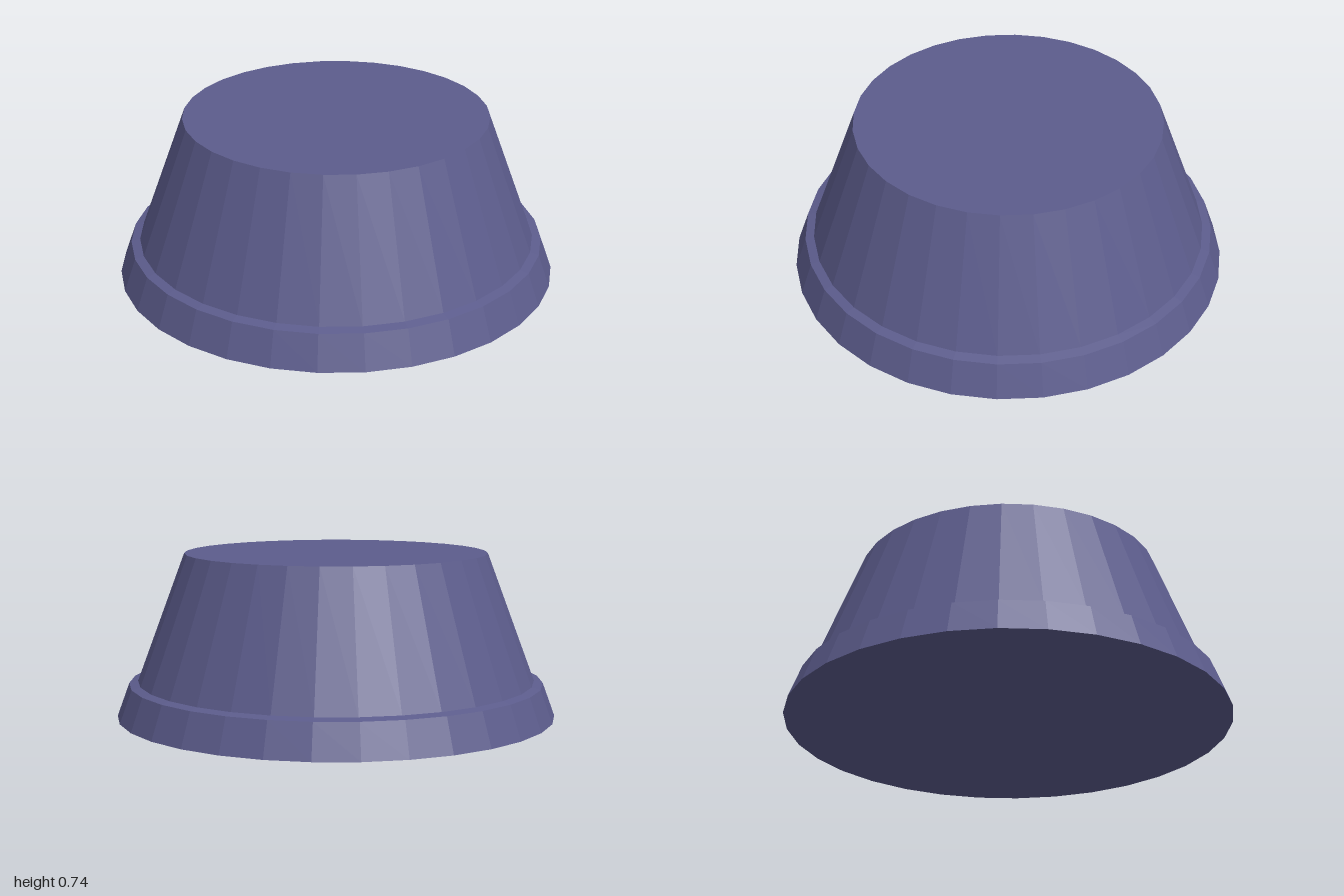
import * as THREE from 'three';

const SIDES = 32;

export function createModel() {
  const group = new THREE.Group();
  const material = new THREE.MeshStandardMaterial({ color: 0x5c5c8c, flatShading: true });

  // Faceted solid of revolution from [radius, height] pairs, bottom to top
  const turned = (name, profile) => {
    const points = profile.map(([r, y]) => new THREE.Vector2(r, y));
    const mesh = new THREE.Mesh(new THREE.LatheGeometry(points, SIDES), material);
    mesh.name = name;
    group.add(mesh);
  };

  // Flared foot with a closed underside and a slightly sloped ledge
  turned('baseRim', [[0, 0], [1, 0], [0.945, 0.15], [0.905, 0.16]]);

  // Tapered body with a flat top
  turned('taperedBody', [[0.905, 0.16], [0.688, 0.74], [0, 0.74]]);

  return group;
}
